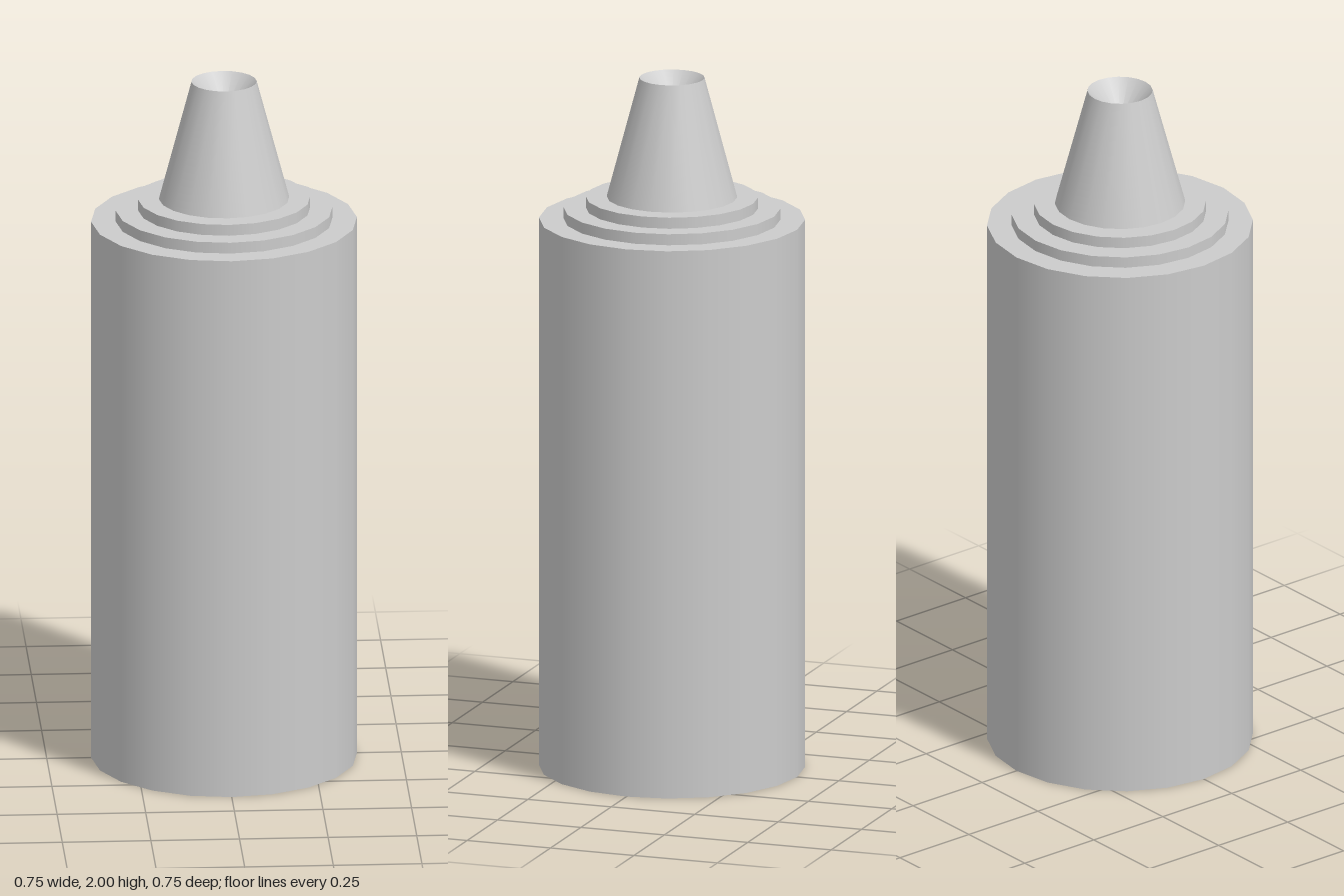
import * as THREE from 'three';

const SIDES = 20;

export function createModel() {
  const group = new THREE.Group();
  const material = new THREE.MeshStandardMaterial({ color: 0xcccccc });
  const thin = new THREE.MeshStandardMaterial({ color: 0xcccccc, side: THREE.DoubleSide });

  const add = (name, geometry, y, mat = material) => {
    const mesh = new THREE.Mesh(geometry, mat);
    mesh.name = name;
    mesh.position.y = y;
    group.add(mesh);
  };

  // Body and the two stepped shoulders: [name, radius, bottom, top]
  const tiers = [
    ['body', 0.375, 0, 1.59],
    ['lowerShoulder', 0.306, 1.59, 1.622],
    ['upperShoulder', 0.243, 1.622, 1.654],
  ];
  for (const [name, radius, bottom, top] of tiers) {
    add(name, new THREE.CylinderGeometry(radius, radius, top - bottom, SIDES), (bottom + top) / 2);
  }

  // Tapered nozzle, open at the tip
  const base = 1.654;
  add('nozzle', new THREE.CylinderGeometry(0.092, 0.184, 2 - base, SIDES, 1, true), (2 + base) / 2, thin);

  // Hollow sunk into the tip
  const hollow = [[0, -0.1], [0.092, 0]].map(([x, y]) => new THREE.Vector2(x, y));
  add('nozzleHollow', new THREE.LatheGeometry(hollow, SIDES), 2, thin);

  return group;
}
